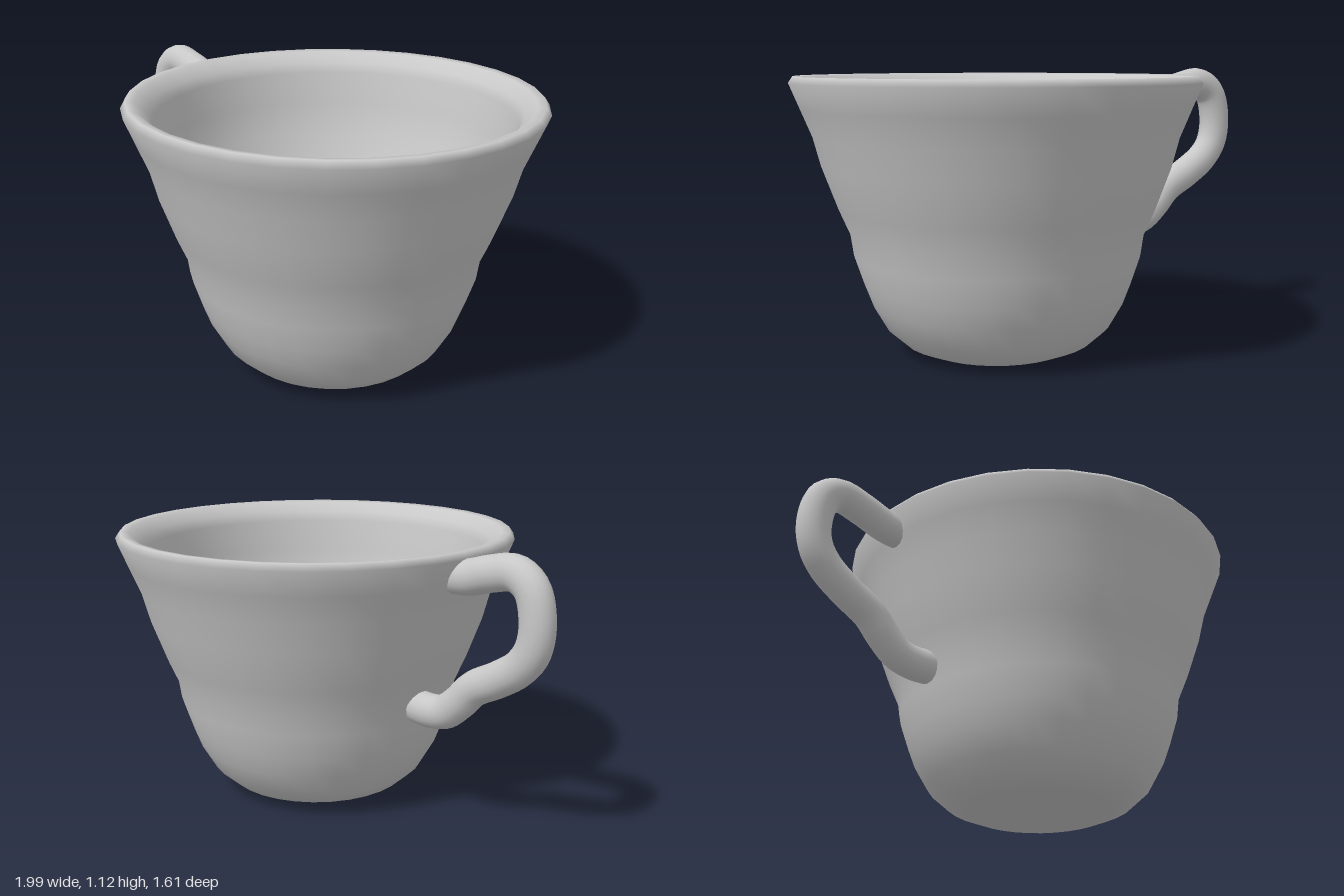
import * as THREE from 'three';

export function createModel() {
  const group = new THREE.Group();
  const glaze = new THREE.MeshStandardMaterial({ color: 0xc8c8c8 });
  glaze.name = 'grey glaze';

  // Cup wall: up the outside, over the rim, down the inside to the floor
  const profile = [
    [0, 0], [0.295, 0.002], [0.38, 0.037], [0.45, 0.1], [0.507, 0.2], [0.537, 0.28],
    [0.573, 0.39], [0.585, 0.475], [0.63, 0.58], [0.69, 0.745], [0.72, 0.86],
    [0.765, 0.97], [0.805, 1.068], [0.787, 1.094], [0.755, 1.09], [0.71, 1.05], [0.692, 1.01],
    [0.67, 0.88], [0.64, 0.75], [0.575, 0.6], [0.512, 0.46], [0.5, 0.42],
    [0.47, 0.36], [0.44, 0.27], [0.41, 0.18], [0.385, 0.13], [0.3, 0.1], [0, 0.09],
  ].map(([r, y]) => new THREE.Vector2(r, y));
  const cup = new THREE.Mesh(new THREE.LatheGeometry(profile, 32), glaze);
  cup.name = 'cup';
  cup.position.x = 0.19;
  group.add(cup);

  // Handle: a round bar that loops out and waves back in to the waist
  const path = new THREE.CatmullRomCurve3([
    [-0.55, 1.0], [-0.62, 1.005], [-0.73, 1.035], [-0.83, 1.05], [-0.9, 1.005], [-0.93, 0.89],
    [-0.915, 0.79], [-0.865, 0.72], [-0.77, 0.655], [-0.665, 0.597], [-0.6, 0.53],
    [-0.53, 0.475], [-0.46, 0.46], [-0.36, 0.465],
  ].map(([x, y]) => new THREE.Vector3(x, y, 0)));
  const handle = new THREE.Mesh(new THREE.TubeGeometry(path, 56, 0.067, 16), glaze);
  handle.name = 'handle';
  handle.scale.z = 0.92;
  group.add(handle);

  return group;
}
